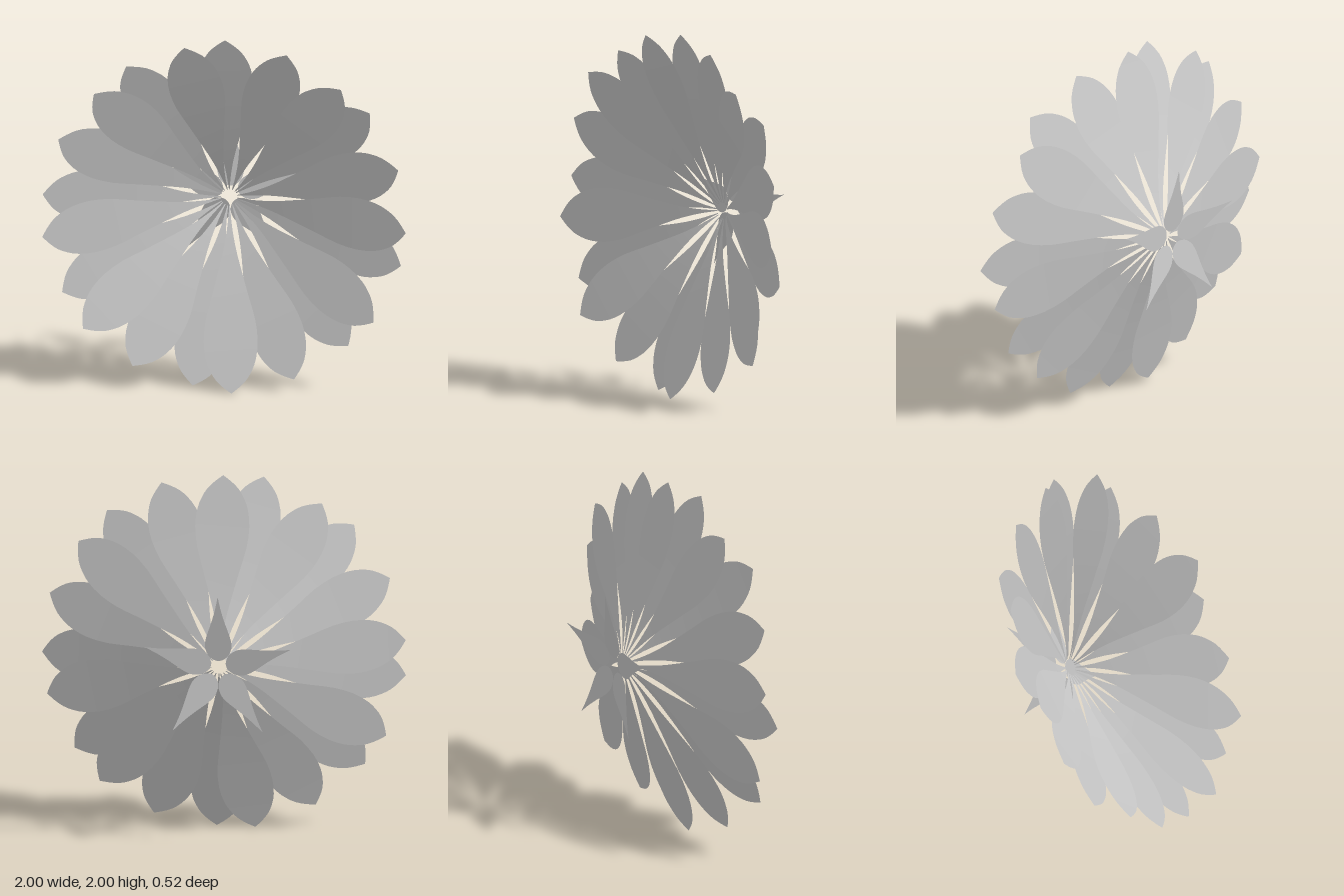
import * as THREE from 'three';

const petalGrey = new THREE.MeshStandardMaterial({ color: 0xcccccc, side: THREE.DoubleSide });
petalGrey.name = 'petalGrey';

// half outlines as [distance from centre, half width]
const PETAL = [[0.045, 0.002], [0.12, 0.009], [0.2, 0.021], [0.3, 0.043], [0.5, 0.1], [0.62, 0.135], [0.73, 0.148],
  [0.82, 0.138], [0.88, 0.116], [0.93, 0.085], [0.97, 0.042], [1, 0]];
const SEPAL = [[0.045, 0.006], [0.052, 0.028], [0.075, 0.054], [0.105, 0.068], [0.14, 0.073], [0.19, 0.063],
  [0.27, 0.036], [0.35, 0.014], [0.42, 0]];

// thin leaf pointing up +y, its depth following a rule of the distance
function leaf(outline, depth) {
  const rows = new THREE.SplineCurve(outline.map(([r, w]) => new THREE.Vector2(r, w))).getPoints((outline.length - 1) * 2);
  const pos = [], index = [];
  rows.forEach(({ x: r, y: w }, i) => {
    pos.push(-w, r, depth(r), w, r, depth(r));
    if (i) {
      const a = 2 * i - 2;
      index.push(a, a + 1, a + 3);
      if (w > 1e-6) index.push(a, a + 3, a + 2);
    }
  });
  const g = new THREE.BufferGeometry();
  g.setAttribute('position', new THREE.Float32BufferAttribute(pos, 3));
  g.setIndex(index);
  g.computeVertexNormals();
  return g;
}

export function createModel() {
  const flower = new THREE.Group();
  flower.name = 'flower';

  // petals follow the golden angle, each one cupped a little further forward
  const petals = new THREE.Group();
  petals.name = 'petals';
  for (let i = 0; i < 21; i++) {
    const tip = 0.145 + 0.006 * i;
    const depth = r => -0.135 + (tip + 0.135) * Math.pow(Math.max(0, (r - 0.045) / 0.955), 0.89);
    const petal = new THREE.Mesh(leaf(PETAL, depth), petalGrey);
    petal.name = 'petal' + (i + 1);
    petal.rotation.z = -THREE.MathUtils.degToRad(137.5 * i);
    petals.add(petal);
  }

  // five sepals behind, swept backwards
  const sepals = new THREE.Group();
  sepals.name = 'sepals';
  const sepalShape = leaf(SEPAL, r => -0.197 - 0.15 * r);
  for (let i = 0; i < 5; i++) {
    const sepal = new THREE.Mesh(sepalShape, petalGrey);
    sepal.name = 'sepal' + (i + 1);
    sepal.rotation.z = i * Math.PI * 2 / 5;
    sepals.add(sepal);
  }

  petals.position.y = sepals.position.y = 1;
  flower.add(petals, sepals);
  return flower;
}
